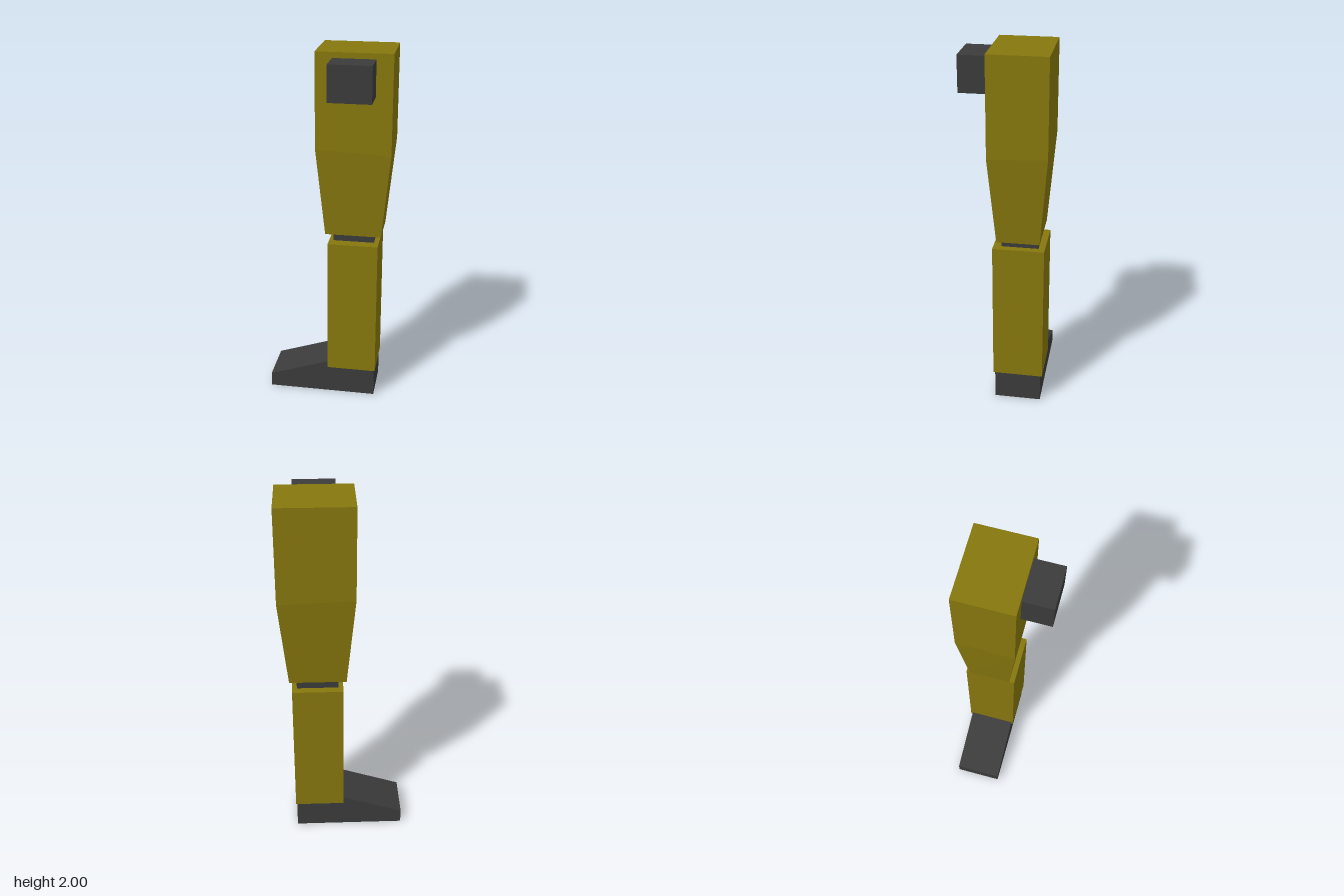
import * as THREE from 'three';

const olive = new THREE.MeshStandardMaterial({ color: 0x86770e });
olive.name = 'olive yellow';
const charcoal = new THREE.MeshStandardMaterial({ color: 0x3b3b3b });
charcoal.name = 'charcoal';

// Box given by its lower and upper limits on each axis
function block(name, [x0, x1], [y0, y1], [z0, z1], material) {
  const mesh = new THREE.Mesh(new THREE.BoxGeometry(x1 - x0, y1 - y0, z1 - z0), material);
  mesh.position.set((x0 + x1) / 2, (y0 + y1) / 2, (z0 + z1) / 2);
  mesh.name = name;
  return mesh;
}

// Thigh: a straight box whose lower half tapers towards the knee
function thigh() {
  const top = 2, bottom = 0.995;
  const geometry = new THREE.BoxGeometry(2, 2, 2, 1, 2, 1).toNonIndexed();
  const p = geometry.attributes.position;
  for (let i = 0; i < p.count; i++) {
    const sx = p.getX(i), sy = p.getY(i), sz = p.getZ(i);
    const low = sy < -0.5;
    const x = low ? (sx < 0 ? -0.017 : 0.29) : (sx < 0 ? -0.063 : 0.338);
    const z = low ? (sz < 0 ? -0.19 : 0.038) : (sz < 0 ? -0.232 : 0.077);
    // the crease where the taper starts leans slightly
    const y = low ? bottom : sy > 0.5 ? top : 1.487 - 0.008 * (sx + sz);
    p.setXYZ(i, x, y, z);
  }
  geometry.computeVertexNormals();
  const mesh = new THREE.Mesh(geometry, olive);
  mesh.name = 'thigh';
  return mesh;
}

// Foot: a wedge profile pointing to -x, extruded across z
function foot() {
  const shape = new THREE.Shape([
    [-0.338, 0], [0.27, 0], [0.27, 0.195], [0, 0.195], [-0.338, 0.08],
  ].map(([x, y]) => new THREE.Vector2(x, y)));
  const geometry = new THREE.ExtrudeGeometry(shape, { depth: 0.256, bevelEnabled: false });
  const mesh = new THREE.Mesh(geometry, charcoal);
  mesh.position.z = -0.202;
  mesh.name = 'foot';
  return mesh;
}

export function createModel() {
  const leg = new THREE.Group();
  leg.name = 'leg';
  leg.add(
    thigh(),
    block('hipJoint', [0.026, 0.25], [1.78, 1.97], [0.05, 0.232], charcoal),
    block('knee', [0.026, 0.25], [0.953, 1.03], [-0.18, 0.018], charcoal),
    block('shin', [0, 0.276], [0.162, 0.946], [-0.213, 0.063], olive),
    foot(),
  );
  return leg;
}
